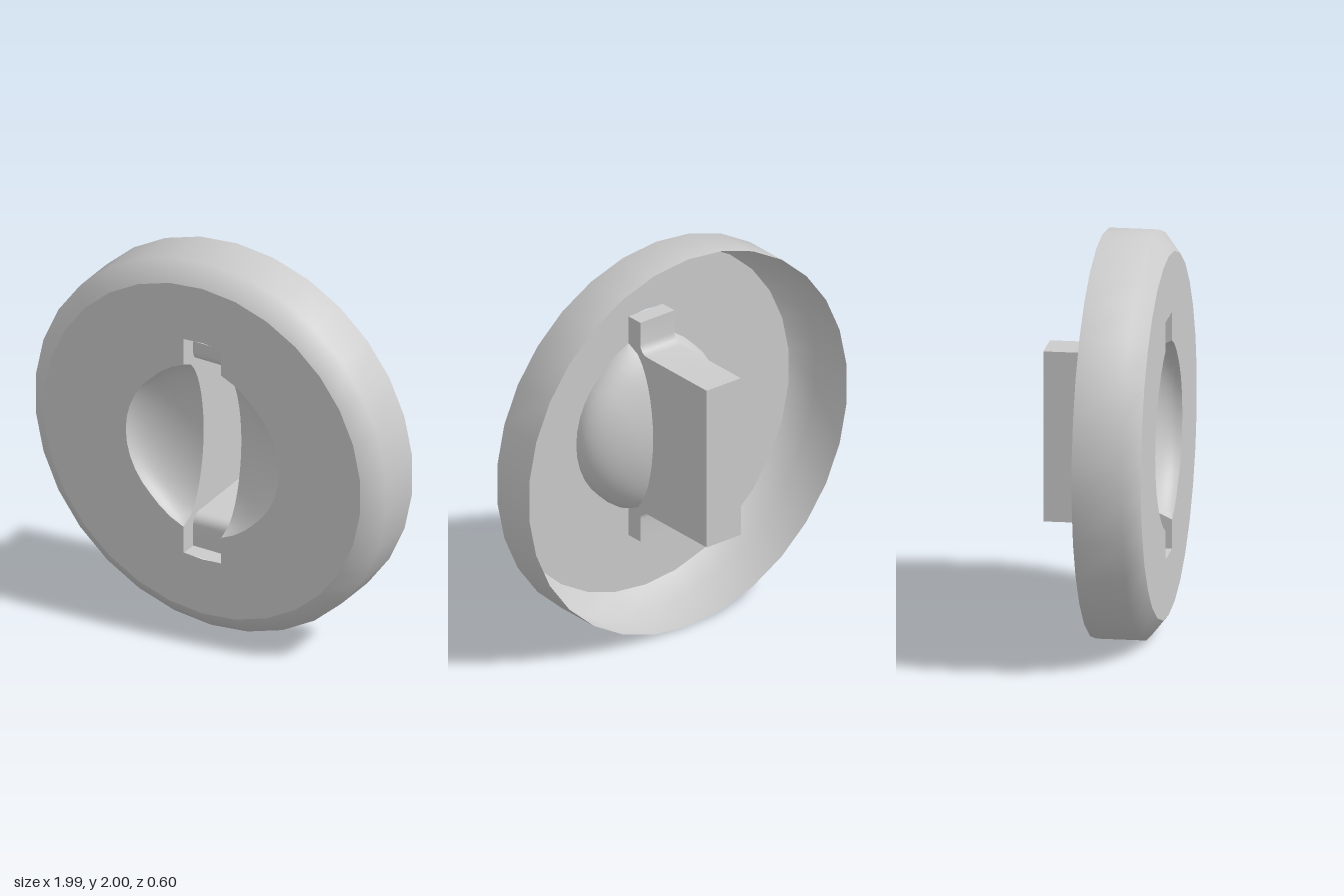
import * as THREE from 'three';
import { toCreasedNormals } from 'three/addons/utils/BufferGeometryUtils.js';

const FACE_Z = 0.3, HALF = 0.107, SLOT_Y = 0.6, BOX_Y = 0.427, LEDGE_Z = 0.21, BACK_Z = -0.3;
const END = Math.atan2(0.45, HALF);
const ROWS = 16;

// Radius of the finger recess, flaring slightly where it meets the slot
function rimRadius(a) {
  const k = Math.max(0, (Math.abs(a) - 0.85) / (END - 0.85));
  return 0.435 + 0.0275 * Math.min(1, k);
}
function rimPoint(i) {
  const a = -END + (2 * END * i) / ROWS, r = rimRadius(a);
  return [r * Math.cos(a), r * Math.sin(a)];
}
// Depth of the hollow at a point of the face
function bowlZ(x, y) {
  const q = Math.hypot(x, y) / rimRadius(Math.atan2(y, x));
  return FACE_Z - 0.195 * Math.sqrt(Math.max(0, 1 - q * q));
}

export function createModel() {
  const model = new THREE.Group();
  const material = new THREE.MeshStandardMaterial({ color: 0xcccccc, side: THREE.DoubleSide });
  const add = (name, geometry, parent = model) => {
    const mesh = new THREE.Mesh(geometry, material);
    mesh.name = name;
    parent.add(mesh);
    return mesh;
  };
  const rim = [];
  for (let i = 0; i <= ROWS; i++) rim.push(rimPoint(i));

  // Outer rim: open at the back, bevelled at the front
  const rimProfile = [[1, -0.025], [1, 0.22], [0.9, FACE_Z]].map(p => new THREE.Vector2(...p));
  const rimGeometry = new THREE.LatheGeometry(rimProfile, 30);
  rimGeometry.rotateX(Math.PI / 2);
  add('outerRim', rimGeometry);

  // Front face with the recess and slot cut out
  const disc = [];
  for (let i = 0; i < 30; i++) {
    const a = (i / 30) * Math.PI * 2;
    disc.push(new THREE.Vector2(0.9 * Math.sin(a), 0.9 * Math.cos(a)));
  }
  const face = new THREE.Shape(disc);
  const half = [[HALF, -SLOT_Y + 0.008], ...rim, [HALF, SLOT_Y - 0.008], [0, SLOT_Y]];
  const outline = [...half, ...half.map(([x, y]) => [-x, -y])];
  face.holes.push(new THREE.Path(outline.map(p => new THREE.Vector2(...p))));
  const faceGeometry = new THREE.ShapeGeometry(face);
  faceGeometry.translate(0, 0, FACE_Z);
  add('frontFace', faceGeometry);

  // Upper half of the slot section as [z, y], with a small fillet behind the ledge
  const upper = [[FACE_Z, SLOT_Y - 0.004], [LEDGE_Z, SLOT_Y - 0.004]];
  for (let i = 0; i <= 4; i++) {
    const a = (i / 4) * Math.PI / 2, r = 0.05;
    upper.push([LEDGE_Z - r + r * Math.cos(a), BOX_Y + r - r * Math.sin(a)]);
  }
  upper.push([BACK_Z, BOX_Y]);
  const section = [...upper, ...upper.map(([z, y]) => [z, -y]).reverse()];

  // Slot ends, ledges and back as one strip across the width
  const positions = [], index = [];
  section.forEach(([z, y], i) => {
    positions.push(-HALF, y, z, HALF, y, z);
    if (i) {
      const b = 2 * i;
      index.push(b - 2, b, b - 1, b - 1, b, b + 1);
    }
  });
  const strip = new THREE.BufferGeometry();
  strip.setAttribute('position', new THREE.Float32BufferAttribute(positions, 3));
  strip.setIndex(index);
  add('slotChannel', toCreasedNormals(strip, 0.7));

  // Side wall of the slot, its front edge following the hollow
  const wallEdge = rim.map(([, y]) => [bowlZ(HALF, y), y]);
  const wallOutline = [...section, ...wallEdge].map(([z, y]) => new THREE.Vector2(-z, y));
  const wall = new THREE.ShapeGeometry(new THREE.Shape(wallOutline));
  wall.rotateY(Math.PI / 2);
  wall.translate(HALF, 0, 0);

  // Curved finger hollow between the rim of the recess and the slot
  const bowl = new THREE.PlaneGeometry(1, 1, 10, ROWS);
  const p = bowl.attributes.position;
  for (let i = 0; i < p.count; i++) {
    const t = p.getX(i) + 0.5;
    const [rx, y] = rim[Math.round((p.getY(i) + 0.5) * ROWS)];
    const x = HALF + (rx - HALF) * Math.sin(t * Math.PI / 2);
    p.setXYZ(i, x, y, bowlZ(x, y));
  }
  bowl.computeVertexNormals();

  // Both sides are mirror images
  for (const side of [1, -1]) {
    const group = new THREE.Group();
    group.name = side > 0 ? 'leftRecess' : 'rightRecess';
    group.scale.x = side;
    add('slotWall', wall, group);
    add('fingerHollow', bowl, group);
    model.add(group);
  }

  model.position.y = 1;
  const root = new THREE.Group();
  root.name = 'knobCap';
  root.add(model);
  return root;
}
